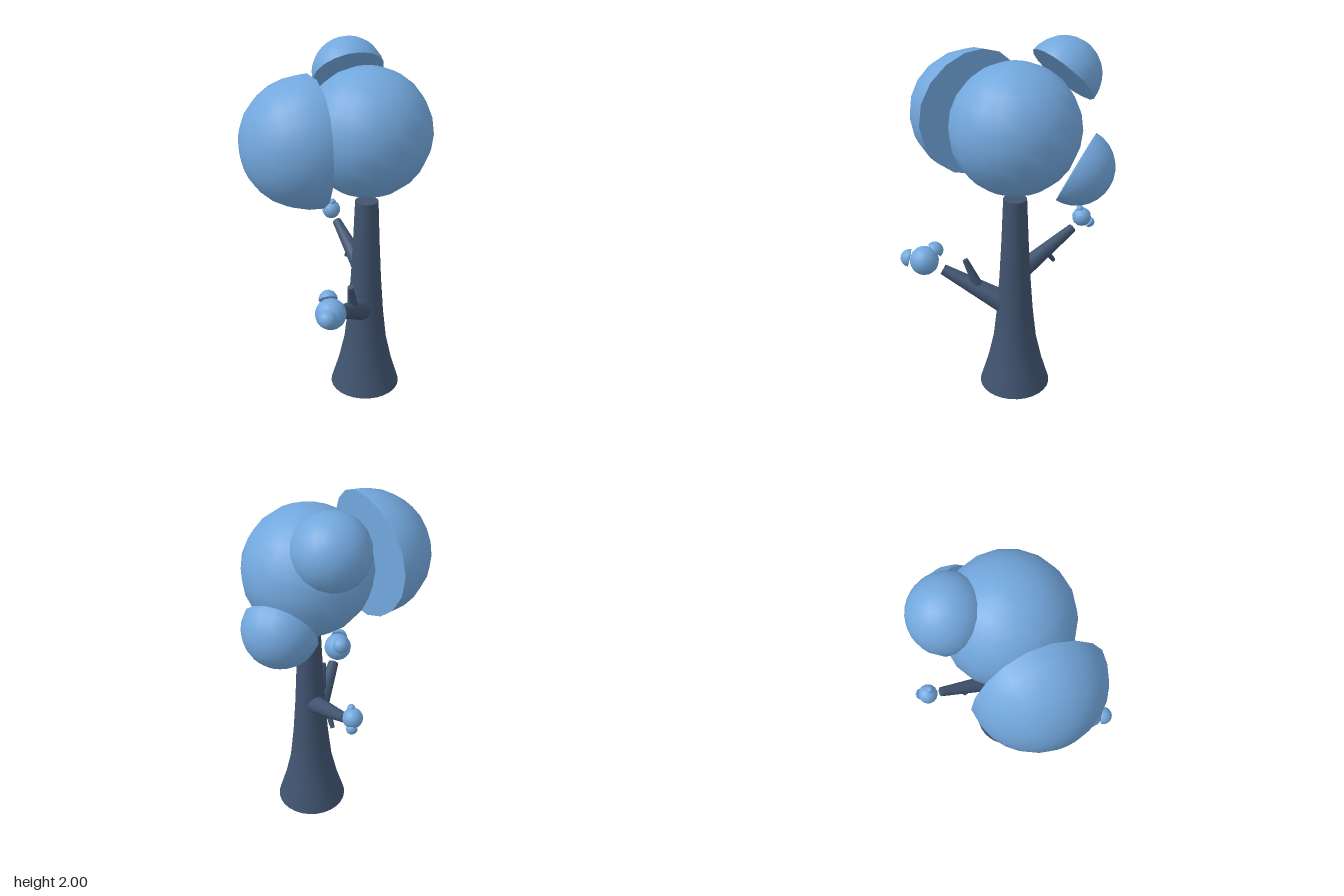
import * as THREE from 'three';

const foliageMat = new THREE.MeshStandardMaterial({ color: 0x72a7dd });
foliageMat.name = 'foliage blue';
const barkMat = new THREE.MeshStandardMaterial({ color: 0x40536f });
barkMat.name = 'bark navy';

const V = (p) => new THREE.Vector3(...p);
const UP = new THREE.Vector3(0, 1, 0);

function addMesh(parent, name, geometry, material) {
  const mesh = new THREE.Mesh(geometry, material);
  mesh.name = name;
  parent.add(mesh);
  return mesh;
}

function ball(parent, name, center, r, segments = 18) {
  const mesh = addMesh(parent, name, new THREE.SphereGeometry(r, segments, segments - 6), foliageMat);
  mesh.position.set(...center);
}

// Capped half ball bulging along dir; bow bends the cut face back along bowDir
function dome(parent, name, center, r, dir, { segments = 18, height = 1, bow = 0 } = {}) {
  const group = new THREE.Group();
  group.name = name;
  const n = V(dir).normalize();
  const shell = new THREE.SphereGeometry(r, segments, segments / 2 - 2, 0, Math.PI * 2, 0, Math.PI / 2);
  const cut = new THREE.CircleGeometry(r, segments).rotateX(Math.PI / 2);
  for (const g of [shell, cut]) {
    g.scale(1, height, 1);
    if (!bow) continue;
    const p = g.attributes.position;
    for (let i = 0; i < p.count; i++) {
      const along = (-n.x * p.getX(i) - n.z * p.getZ(i)) / r;
      p.setY(i, p.getY(i) - bow * along * along * (1 - p.getY(i) / r));
    }
  }
  addMesh(group, 'domeShell', shell, foliageMat);
  addMesh(group, 'domeCutFace', cut, foliageMat);
  group.position.set(...center);
  group.quaternion.setFromUnitVectors(UP, n);
  parent.add(group);
}

// Tapered limb from a to b
function limb(parent, name, a, b, ra, rb, sides = 20) {
  const from = V(a), to = V(b);
  const axis = to.clone().sub(from);
  const mesh = addMesh(parent, name, new THREE.CylinderGeometry(rb, ra, axis.length(), sides), barkMat);
  mesh.position.copy(from).add(to).multiplyScalar(0.5);
  mesh.quaternion.setFromUnitVectors(UP, axis.normalize());
}

export function createModel() {
  const tree = new THREE.Group();
  tree.name = 'tree';

  // Flared trunk with closed ends
  const trunk = new THREE.Group();
  trunk.name = 'trunk';
  trunk.position.set(0.08, 0, -0.08);
  const profile = [[0.2, 0], [0.155, 0.15], [0.122, 0.3], [0.102, 0.48], [0.086, 0.7], [0.074, 0.93], [0.064, 1.17]];
  addMesh(trunk, 'trunkSide', new THREE.LatheGeometry(profile.map((p) => new THREE.Vector2(...p)), 28), barkMat);
  addMesh(trunk, 'trunkBase', new THREE.CircleGeometry(0.2, 28).rotateX(Math.PI / 2), barkMat);
  addMesh(trunk, 'trunkTop', new THREE.CircleGeometry(0.064, 28).rotateX(-Math.PI / 2).translate(0, 1.17, 0), barkMat);
  tree.add(trunk);

  // Crown: one ball with three half balls facing outward
  const crown = new THREE.Group();
  crown.name = 'crown';
  ball(crown, 'crownBall', [0.08, 1.56, -0.08], 0.345);
  dome(crown, 'frontCrownDome', [-0.03, 1.56, 0.27], 0.345, [-0.3, 0, 0.95], { height: 0.95, bow: 0.045 });
  dome(crown, 'topCrownDome', [-0.185, 1.8, -0.2], 0.2, [-0.65, 0.68, -0.3]);
  dome(crown, 'backCrownDome', [-0.02, 1.39, -0.385], 0.2, [-0.27, -0.45, -0.84]);
  tree.add(crown);

  // Right branch with twig and leaf cluster
  const right = new THREE.Group();
  right.name = 'rightBranch';
  limb(right, 'branch', [0.08, 0.70, -0.08], [-0.30, 0.875, -0.22], 0.056, 0.026);
  limb(right, 'twig', [-0.12, 0.79, -0.155], [-0.175, 0.71, -0.175], 0.018, 0.012, 12);
  ball(right, 'leafBall', [-0.37, 0.925, -0.24], 0.054, 16);
  dome(right, 'lowerLeafDome', [-0.395, 0.892, -0.276], 0.031, [-0.45, -0.6, -0.65], { segments: 14 });
  dome(right, 'upperLeafDome', [-0.355, 0.98, -0.235], 0.021, [0.25, 0.95, 0.1], { segments: 14 });
  tree.add(right);

  // Front left branch with twig and leaf cluster
  const front = new THREE.Group();
  front.name = 'frontBranch';
  limb(front, 'branch', [0.08, 0.49, -0.08], [0.24, 0.695, 0.30], 0.07, 0.03);
  limb(front, 'twig', [0.165, 0.60, 0.105], [0.205, 0.78, 0.168], 0.032, 0.016, 12);
  ball(front, 'leafBall', [0.288, 0.745, 0.393], 0.082, 16);
  dome(front, 'outerLeafDome', [0.336, 0.763, 0.46], 0.05, [0.5, 0.2, 0.8], { segments: 14 });
  dome(front, 'upperLeafDome', [0.235, 0.796, 0.36], 0.05, [-0.6, 0.65, -0.4], { segments: 14 });
  tree.add(front);

  return tree;
}
